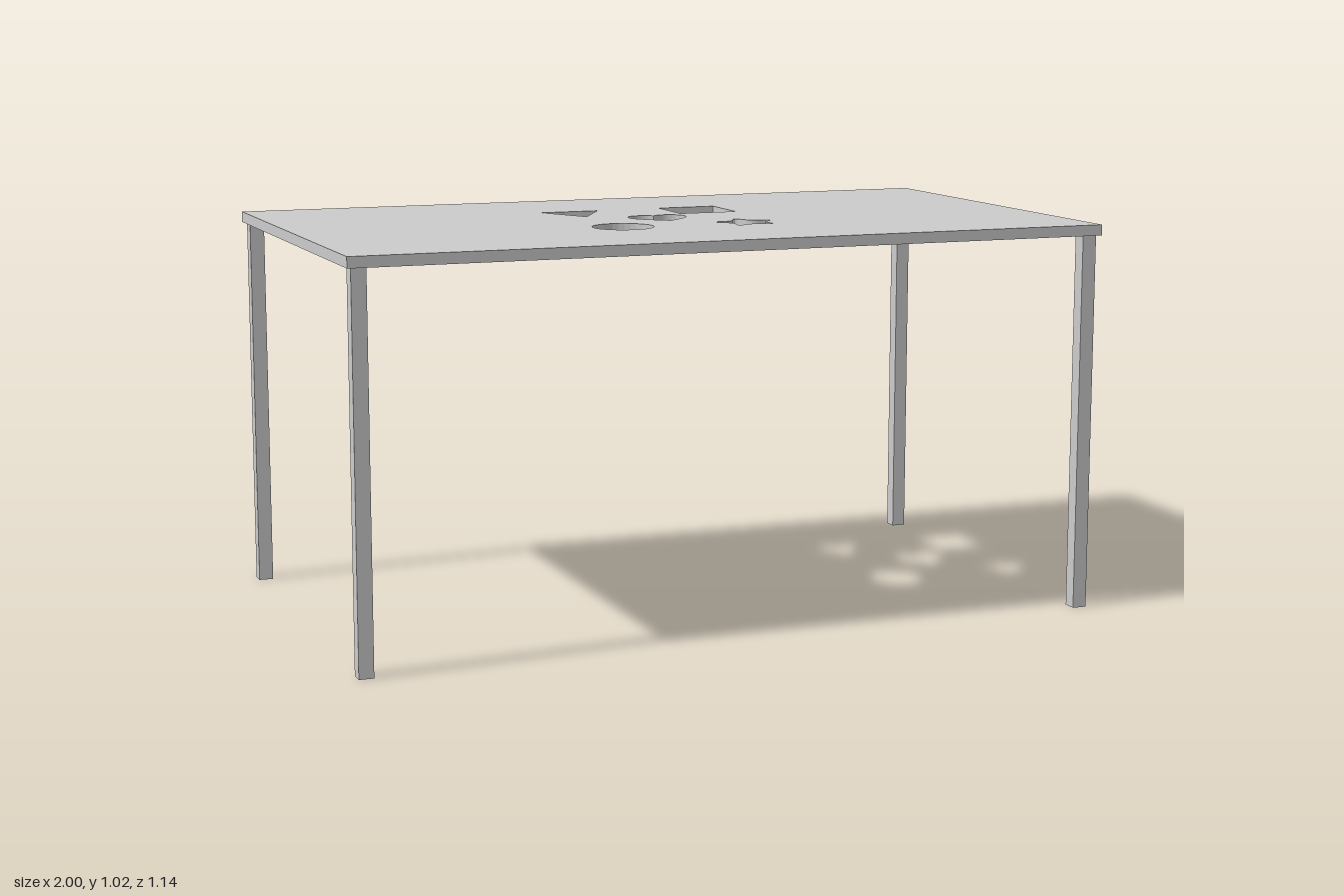
import * as THREE from 'three';

const material = new THREE.MeshStandardMaterial({ color: 0xcccccc });
const V = (x, y) => new THREE.Vector2(x, y);

function polygon(points, Type = THREE.Path) {
  return new Type(points.map(([x, y]) => V(x, y)));
}

function rectangle(cx, cy, w, h, Type) {
  const a = w / 2, b = h / 2;
  return polygon([[cx - a, cy - b], [cx + a, cy - b], [cx + a, cy + b], [cx - a, cy + b]], Type);
}

function circle(cx, cy, r) {
  return new THREE.Path().absarc(cx, cy, r, 0, Math.PI * 2);
}

// Five-pointed star with every corner rounded off
function star(cx, cy, outer, inner) {
  const corners = [];
  for (let i = 0; i < 10; i++) {
    const a = Math.PI / 2 + (i * Math.PI) / 5;
    const r = i % 2 ? inner : outer;
    corners.push(V(cx + r * Math.cos(a), cy + r * Math.sin(a)));
  }
  const path = new THREE.Path();
  corners.forEach((c, i) => {
    const before = c.clone().lerp(corners[(i + 9) % 10], 0.35);
    const after = c.clone().lerp(corners[(i + 1) % 10], 0.35);
    if (i === 0) path.moveTo(before.x, before.y);
    else path.lineTo(before.x, before.y);
    path.quadraticCurveTo(c.x, c.y, after.x, after.y);
  });
  path.closePath();
  return path;
}

// Heart: two round lobes meeting in a point below
function heart() {
  const path = new THREE.Path();
  path.moveTo(0, 0.058);
  path.bezierCurveTo(0.012, 0.082, 0.048, 0.084, 0.066, 0.066);
  path.bezierCurveTo(0.084, 0.048, 0.083, 0.016, 0.064, -0.007);
  path.quadraticCurveTo(0.045, -0.03, 0, -0.068);
  path.quadraticCurveTo(-0.045, -0.03, -0.064, -0.007);
  path.bezierCurveTo(-0.083, 0.016, -0.084, 0.048, -0.066, 0.066);
  path.bezierCurveTo(-0.048, 0.084, -0.012, 0.082, 0, 0.058);
  return path;
}

// Extrude an outline seen from above (shape y = -z) upwards from y = base
function slab(shape, base, height) {
  return new THREE.ExtrudeGeometry(shape, { depth: height, bevelEnabled: false, curveSegments: 16 })
    .rotateX(-Math.PI / 2)
    .translate(0, base, 0);
}

export function createModel() {
  const table = new THREE.Group();
  table.name = 'table';
  const underside = 0.988;

  // Tabletop with five cut-outs
  const top = rectangle(0, 0, 2, 1.14, THREE.Shape);
  top.holes.push(
    polygon([[-0.251, 0.247], [-0.173, 0.103], [-0.092, 0.247]]),
    rectangle(0.171, 0.174, 0.16, 0.16),
    circle(-0.171, -0.17, 0.08),
    star(0.171, -0.175, 0.092, 0.043),
    heart()
  );
  const topMesh = new THREE.Mesh(slab(top, underside, 0.028), material);
  topMesh.name = 'tabletop';
  table.add(topMesh);

  // Four hollow square legs
  const section = rectangle(0, 0, 0.038, 0.038, THREE.Shape);
  section.holes.push(rectangle(0, 0, 0.032, 0.032));
  const legGeometry = slab(section, 0, underside);
  for (const [sx, side] of [[1, 'Left'], [-1, 'Right']]) {
    for (const [sz, end] of [[1, 'front'], [-1, 'back']]) {
      const leg = new THREE.Mesh(legGeometry, material);
      leg.name = `${end}${side}Leg`;
      leg.position.set(sx * 0.97, 0, sz * 0.541);
      table.add(leg);
    }
  }
  return table;
}
